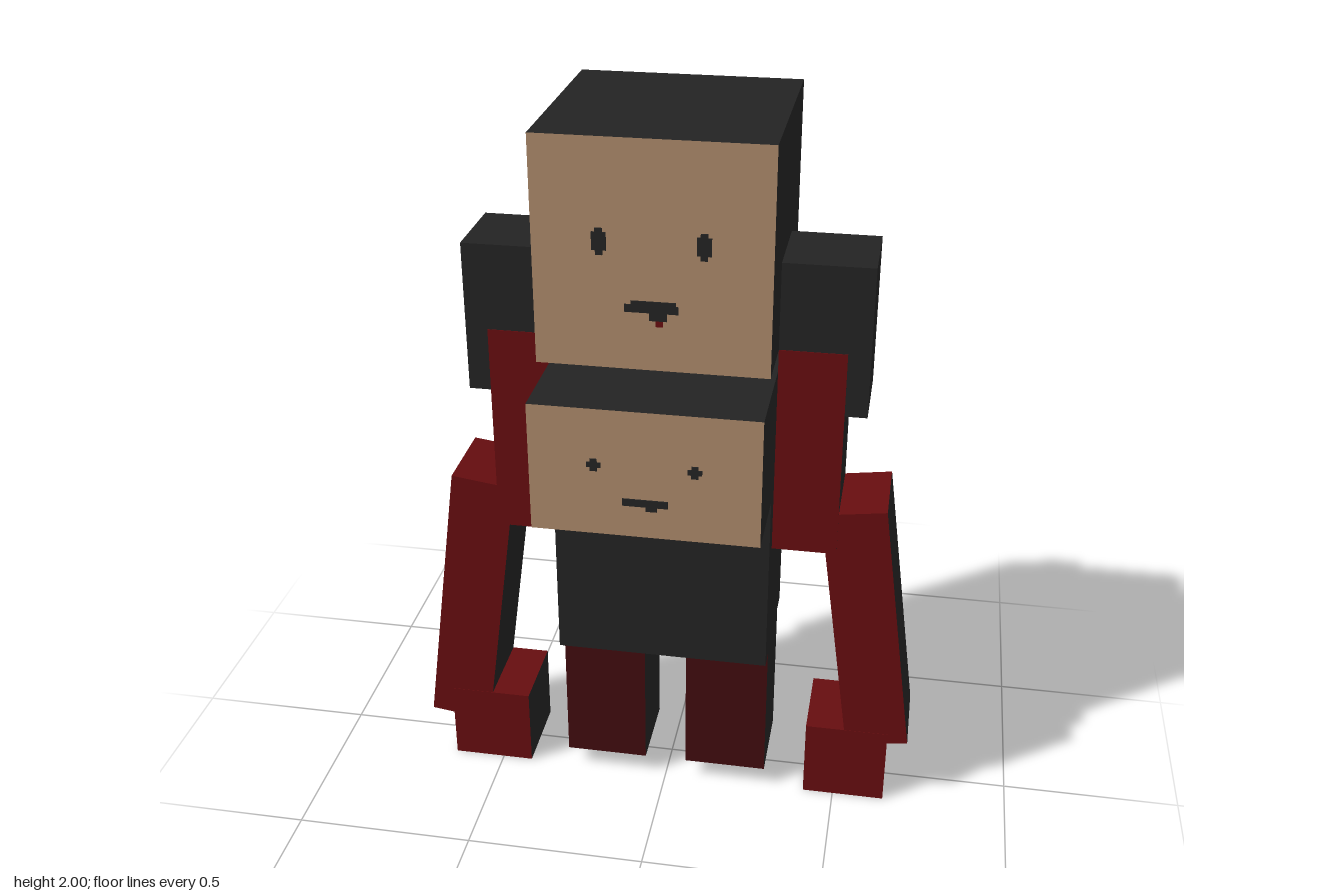
import * as THREE from 'three';

export function createModel() {
  const model = new THREE.Group();
  model.name = 'blockFigure';

  const mat = (name, color) => {
    const m = new THREE.MeshStandardMaterial({ color });
    m.name = name;
    return m;
  };
  const dark = mat('charcoal', 0x232323);
  const tan = mat('tan', 0xac896a);
  const red = mat('deepRed', 0x660d0f);
  const maroon = mat('maroon', 0x410c0e);

  // Face order of a box: +x, -x, top, bottom, front, back
  const faceFront = [dark, dark, dark, dark, tan, dark];
  const sideDark = (c) => [dark, dark, c, c, c, c];

  // Box given by its extents on each axis
  function box(name, material, [x0, x1], [y0, y1], [z0, z1], parent = model) {
    const mesh = new THREE.Mesh(new THREE.BoxGeometry(x1 - x0, y1 - y0, z1 - z0), material);
    mesh.position.set((x0 + x1) / 2, (y0 + y1) / 2, (z0 + z1) / 2);
    mesh.name = name;
    parent.add(mesh);
    return mesh;
  }

  // Thin painted detail on a face lying at depth z
  const paint = (name, material, x, y, z) => box(name, material, x, y, [z - 0.002, z + 0.003]);

  // Head, back strand and neck
  box('head', faceFront, [-0.295, 0.295], [1.415, 2], [-0.295, 0.295]);
  box('backStrand', dark, [-0.058, 0.058], [1.24, 1.825], [-0.412, -0.295]);
  box('neck', dark, [-0.118, 0.118], [1.355, 1.415], [-0.294, 0.115]);

  // Chest block with the second face, and torso
  box('chest', faceFront, [-0.295, 0.295], [1.003, 1.355], [-0.295, 0.412]);
  box('torso', dark, [-0.295, 0.295], [0.475, 1.003], [-0.177, 0.177]);

  // Upper face
  for (const s of [-1, 1]) {
    const x = s * 0.128;
    paint('eye', dark, [x - 0.018, x + 0.018], [1.722, 1.768], 0.295);
    paint('eyeCentre', dark, [x - 0.009, x + 0.009], [1.71, 1.778], 0.295);
  }
  paint('mouth', dark, [-0.068, 0.066], [1.568, 1.588], 0.295);
  paint('upperLip', dark, [-0.052, 0.06], [1.588, 1.598], 0.295);
  paint('lowerLip', dark, [-0.006, 0.038], [1.548, 1.568], 0.295);
  paint('tongue', red, [0.01, 0.028], [1.533, 1.548], 0.295);

  // Lower face
  for (const s of [-1, 1]) {
    const x = s * 0.128;
    paint('chestEye', dark, [x - 0.018, x + 0.018], [1.194, 1.208], 0.412);
    paint('chestEyeCentre', dark, [x - 0.009, x + 0.009], [1.184, 1.218], 0.412);
  }
  paint('chestMouth', dark, [-0.056, 0.06], [1.092, 1.112], 0.412);
  paint('chestLip', dark, [0.004, 0.032], [1.08, 1.092], 0.412);

  // Limbs on both sides
  for (const s of [-1, 1]) {
    const span = (a, b) => (s > 0 ? [a, b] : [-b, -a]);
    const side = s > 0 ? 'left' : 'right';
    const arm = new THREE.Group();
    arm.name = side + 'Arm';
    model.add(arm);

    box(side + 'Shoulder', dark, span(0.295, 0.53), [1.24, 1.65], [-0.117, 0.117], arm);
    box(side + 'UpperArm', sideDark(red), span(0.295, 0.471), [0.825, 1.415], [-0.119, 0.119], arm);

    // The forearm leans outward; the right one is slightly longer
    const length = s > 0 ? 0.762 : 0.817;
    const tilt = THREE.MathUtils.degToRad(7.9);
    const forearm = box(side + 'Forearm', sideDark(red), [-0.0885, 0.0885], [-length / 2, length / 2], [-0.117, 0.117], arm);
    forearm.position.set(
      s * (0.6 + Math.sin(tilt) * length / 2 - Math.cos(tilt) * 0.0885),
      0.965 - Math.cos(tilt) * length / 2 - Math.sin(tilt) * 0.0885,
      0
    );
    forearm.rotation.z = s * tilt;

    box(side + 'Hand', sideDark(red), span(0.413, 0.647), [0, 0.235], [-0.118, 0.118], arm);
    box(side + 'Leg', sideDark(maroon), span(0.06, 0.295), [0.06, 0.475], [-0.117, 0.117]);
  }

  return model;
}
